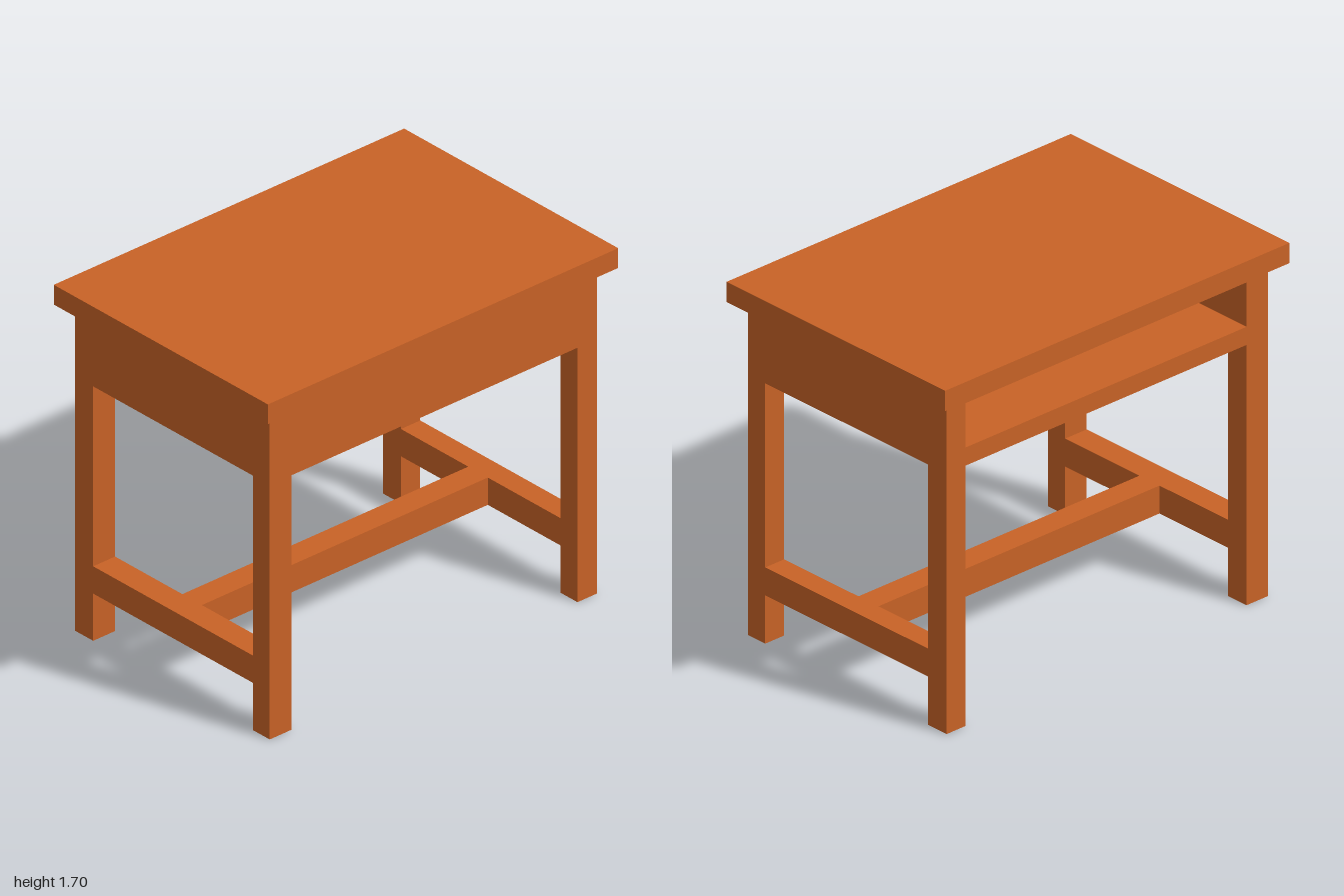
import * as THREE from 'three';

export function createModel() {
  const desk = new THREE.Group();
  desk.name = 'desk';
  const wood = new THREE.MeshStandardMaterial({ color: 0xc86226 });

  const add = (name, geometry) => {
    const mesh = new THREE.Mesh(geometry, wood);
    mesh.name = name;
    desk.add(mesh);
    return mesh;
  };

  // Box given by its limits on each axis
  const box = (name, [x0, x1], [y0, y1], [z0, z1]) =>
    add(name, new THREE.BoxGeometry(x1 - x0, y1 - y0, z1 - z0))
      .position.set((x0 + x1) / 2, (y0 + y1) / 2, (z0 + z1) / 2);

  const inner = [-0.81, 0.822];          // between the side frames
  const back = -0.62, backIn = -0.505, frontIn = 0.515, front = 0.623;
  const railY = [0.232, 0.366], apronY = 1.25, topY = 1.6;

  // Side frame: two legs, low rail and side apron in one flush outline
  const frame = new THREE.Shape([
    [back, 0], [backIn, 0], [backIn, railY[0]], [frontIn, railY[0]],
    [frontIn, 0], [front, 0], [front, topY], [back, topY],
  ].map(p => new THREE.Vector2(...p)));
  frame.holes.push(new THREE.Path([
    [backIn, railY[1]], [backIn, apronY], [frontIn, apronY], [frontIn, railY[1]],
  ].map(p => new THREE.Vector2(...p))));
  const sideFrame = (name, x0, x1) => {
    const geometry = new THREE.ExtrudeGeometry(frame, { depth: x1 - x0, bevelEnabled: false });
    geometry.rotateY(-Math.PI / 2);
    add(name, geometry).position.x = x1;
  };
  sideFrame('rightSideFrame', -0.935, inner[0]);
  sideFrame('leftSideFrame', inner[1], 0.932);

  // Open-backed compartment between the frames
  box('frontApron', inner, [apronY, topY], [frontIn, front]);
  box('compartmentFloor', inner, [apronY, 1.337], [back, frontIn]);
  box('compartmentCeiling', inner, [1.55, topY], [back, frontIn]);

  // Stretcher joining the low rails
  box('centreStretcher', inner, railY, [-0.075, 0.05]);

  // Overhanging top
  box('tabletop', [-1, 1], [topY, 1.697], [-0.684, 0.684]);

  return desk;
}
